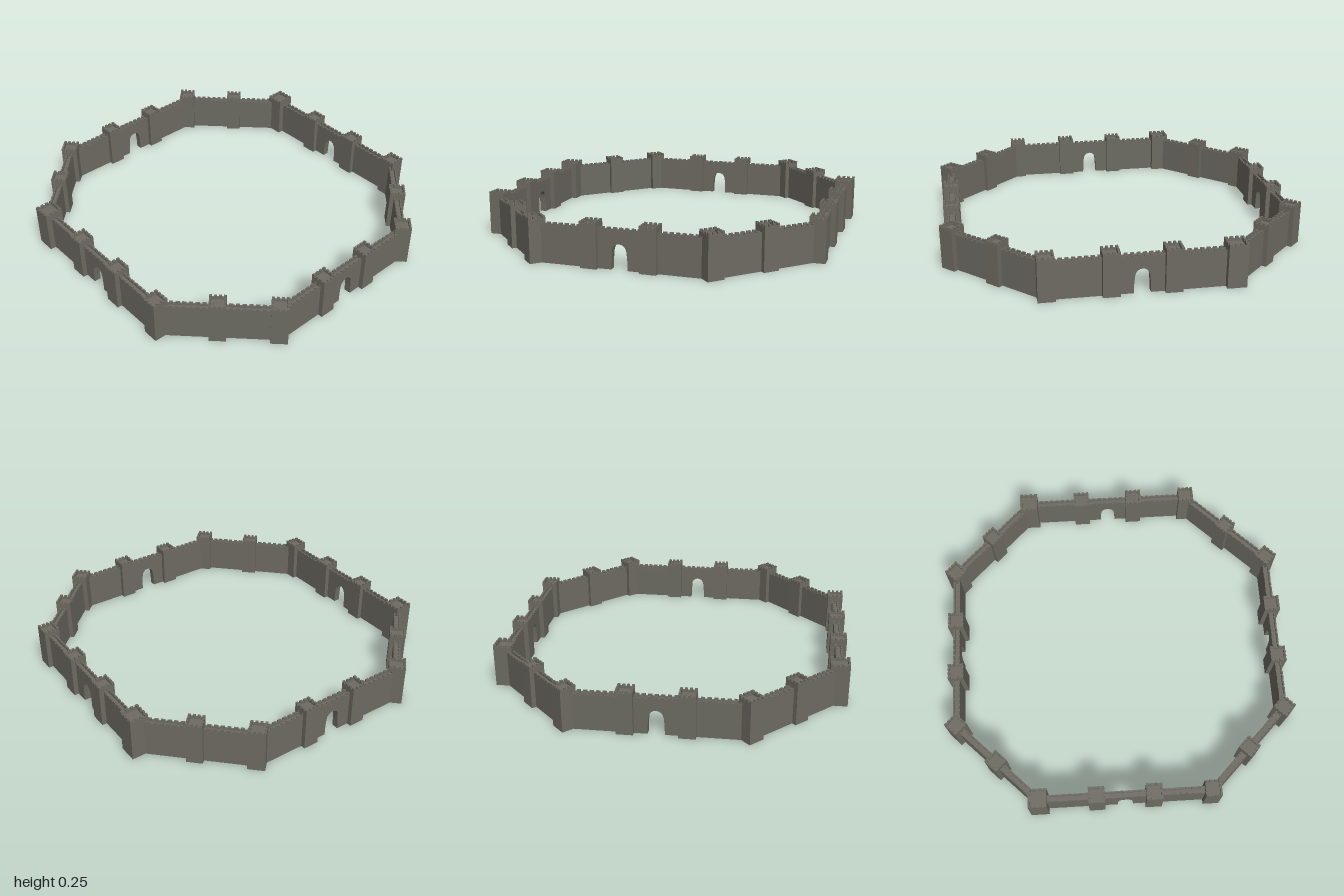
import * as THREE from 'three';

const stone = new THREE.MeshStandardMaterial({ color: 0x6d6b62 });
stone.name = 'grey stone';

const WALL = { thick: 0.038, floor: 0.192, sill: 0.202, top: 0.211, rim: 0.009 };
const TOWER = { floor: 0.223, sill: 0.234, top: 0.245, rim: 0.011 };

// Extrude an outline through a thickness centred on z
function slab(shape, thick, name) {
  const geo = new THREE.ExtrudeGeometry(shape, { depth: thick, bevelEnabled: false, curveSegments: 8 });
  geo.translate(0, 0, -thick / 2);
  const mesh = new THREE.Mesh(geo, stone);
  mesh.name = name;
  return mesh;
}

// Toothed parapet strip along x, with a merlon at both ends
function parapet(length, merlons, gapShare, s) {
  const pitch = length / (merlons - gapShare);
  const shape = new THREE.Shape();
  shape.moveTo(length / 2, s.floor);
  for (let i = merlons - 1; i >= 0; i--) {
    const left = -length / 2 + i * pitch;
    const right = left + pitch * (1 - gapShare);
    if (i < merlons - 1) shape.lineTo(right, s.sill);
    shape.lineTo(right, s.top);
    shape.lineTo(left, s.top);
    if (i > 0) shape.lineTo(left, s.sill);
  }
  shape.lineTo(-length / 2, s.floor);
  return slab(shape, s.rim, 'parapet');
}

// Straight curtain wall, optionally pierced by an arched gate
function wall(x1, z1, x2, z2, gate, name) {
  const group = new THREE.Group();
  group.name = name;
  const dx = x2 - x1, dz = z2 - z1;
  const length = Math.hypot(dx, dz), h = length / 2;
  const shape = new THREE.Shape();
  shape.moveTo(-h, 0);
  if (gate) {
    shape.lineTo(-0.044, 0);
    shape.lineTo(-0.043, 0.05);
    shape.lineTo(-0.039, 0.095);
    shape.bezierCurveTo(-0.034, 0.148, 0.034, 0.148, 0.039, 0.095);
    shape.lineTo(0.043, 0.05);
    shape.lineTo(0.044, 0);
  }
  shape.lineTo(h, 0);
  shape.lineTo(h, WALL.floor);
  shape.lineTo(-h, WALL.floor);
  group.add(slab(shape, WALL.thick, gate ? 'gateWall' : 'plainWall'));
  for (const side of [-1, 1]) {
    const strip = parapet(length, Math.round(length / 0.033), 0.38, WALL);
    strip.position.z = side * (WALL.thick - WALL.rim) / 2;
    group.add(strip);
  }
  group.position.set((x1 + x2) / 2, 0, (z1 + z2) / 2);
  group.rotation.y = Math.atan2(-dz, dx);
  return group;
}

// Square tower with a sunken roof and four parapets
function tower(x, z, size, angle, name) {
  const group = new THREE.Group();
  group.name = name;
  const body = new THREE.Mesh(new THREE.BoxGeometry(size, TOWER.floor, size), stone);
  body.name = 'towerBody';
  body.position.y = TOWER.floor / 2;
  group.add(body);
  for (let i = 0; i < 4; i++) {
    const side = new THREE.Group();
    const strip = parapet(size, 4, 0.42, TOWER);
    strip.position.z = (size - TOWER.rim) / 2;
    side.add(strip);
    side.rotation.y = i * Math.PI / 2;
    group.add(side);
  }
  group.position.set(x, 0, z);
  group.rotation.y = angle;
  return group;
}

export function createModel() {
  const model = new THREE.Group();
  model.name = 'fortressWall';
  const X = 0.935, Z = 0.918, CX = 0.487, CZ = 0.474;

  // Front, back and side walls each have a gate
  for (const s of [-1, 1]) {
    model.add(wall(-CX, s * Z, CX, s * Z, true, s > 0 ? 'frontWall' : 'backWall'));
    model.add(wall(s * X, -CZ, s * X, CZ, true, s > 0 ? 'leftWall' : 'rightWall'));
  }

  for (const sx of [-1, 1]) {
    for (const sz of [-1, 1]) {
      // Diagonal wall with its middle tower
      model.add(wall(sx * CX, sz * Z, sx * X, sz * CZ, false, 'diagonalWall'));
      model.add(tower(sx * 0.711, sz * 0.697, 0.088, Math.PI / 4, 'diagonalTower'));
      // Corner towers, the pair on one side being broader
      model.add(tower(sx * CX, sz * Z, sx < 0 ? 0.104 : 0.09, 0, 'cornerTower'));
      model.add(tower(sx * X, sz * CZ, 0.091, Math.PI / 4, 'sideCornerTower'));
      // Towers flanking the gates
      model.add(tower(sx * 0.161, sz * Z, 0.091, 0, 'gateTower'));
      model.add(tower(sx * X, sz * 0.159, 0.089, 0, 'sideGateTower'));
    }
  }
  return model;
}
